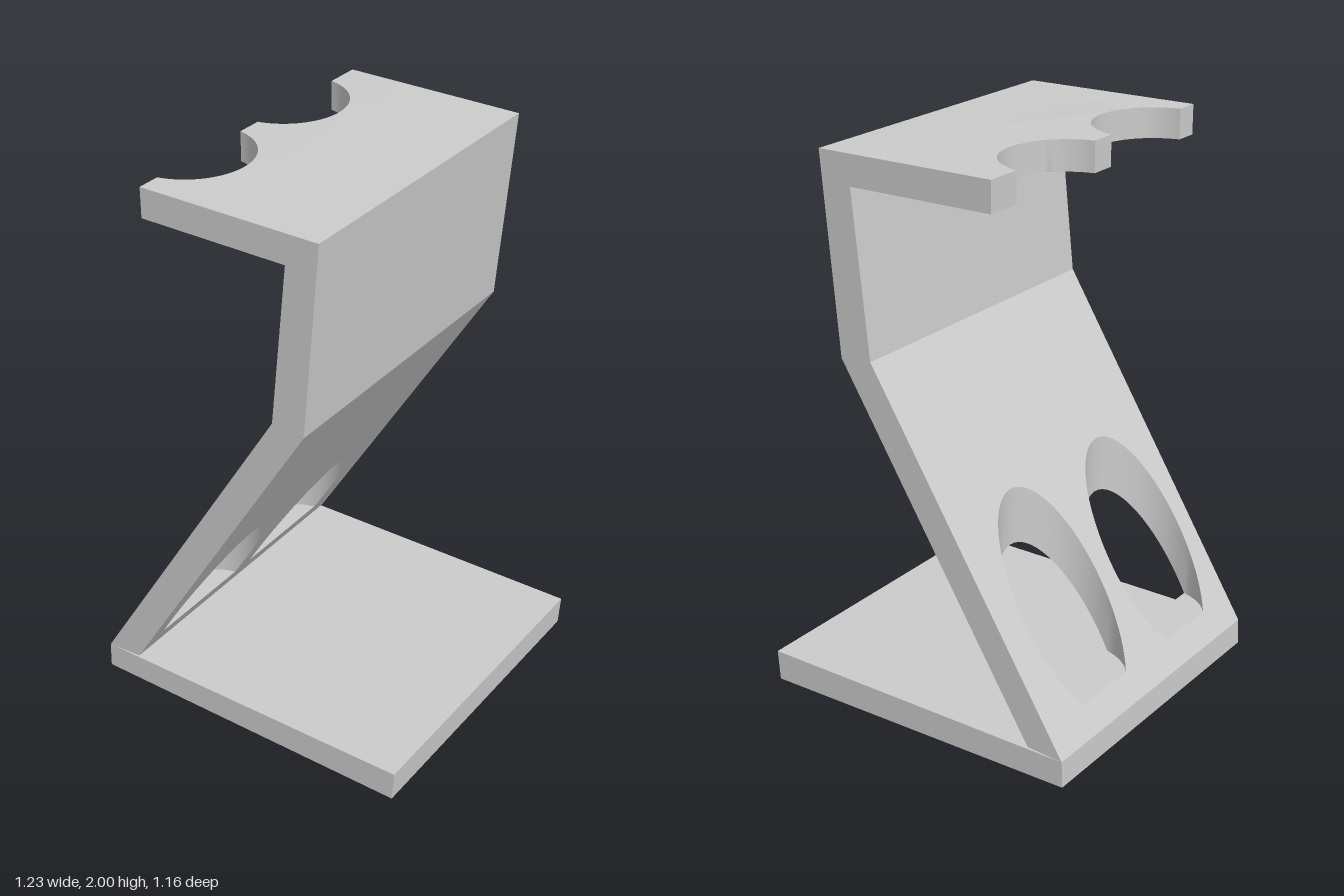
import * as THREE from 'three';
import { toCreasedNormals } from 'three/addons/utils/BufferGeometryUtils.js';

const W = 0.579;                                   // half width along z
const HOLE = { x: -0.382, r: 0.217, zs: [0.282, -0.238] };
const LEDGE = 0.2;                                 // the bores stop at this height
const TOP_EDGE = -0.34;                            // free edge of the top plate

// Corners of the sloping panel seen from the front
const A = [-0.612, 0.11], B = [-0.478, 0.118], C = [0.26, 1.31], D = [0.14, 1.322];
const line = (p, q) => x => p[1] + (x - p[0]) * (q[1] - p[1]) / (q[0] - p[0]);
const invert = (p, q, y) => p[0] + (y - p[1]) * (q[0] - p[0]) / (q[1] - p[1]);
const upper = line(A, D), lower = line(B, C);

const material = new THREE.MeshStandardMaterial({ color: 0xcccccc });

function addMesh(group, name, geometry) {
  const mesh = new THREE.Mesh(toCreasedNormals(geometry, 0.5), material);
  mesh.name = name;
  group.add(mesh);
}

// Front profile pulled across the full width
function slab(points) {
  const shape = new THREE.Shape(points.map(p => new THREE.Vector2(...p)));
  return new THREE.ExtrudeGeometry(shape, { depth: 2 * W, bevelEnabled: false }).translate(0, 0, -W);
}

// Top plate with two round notches; its lower edge is mitred to the column
function topPlate() {
  const a = Math.acos((TOP_EDGE - HOLE.x) / HOLE.r);
  const shape = new THREE.Shape();
  shape.moveTo(0.322, W);
  shape.lineTo(TOP_EDGE, W);
  for (const z of HOLE.zs) shape.absarc(HOLE.x, z, HOLE.r, a, -a, true);
  shape.lineTo(TOP_EDGE, -W);
  shape.lineTo(0.322, -W);
  shape.closePath();
  const g = new THREE.ExtrudeGeometry(shape, { depth: 0.105, bevelEnabled: false, curveSegments: 32 });
  g.rotateX(Math.PI / 2).translate(0, 2, 0);
  const p = g.attributes.position;
  for (let i = 0; i < p.count; i++) {
    const x = p.getX(i), top = p.getY(i) > 1.95;
    if (x > 0.3) p.setXYZ(i, top ? 0.322 : 0.2, top ? 1.994 : 1.89, p.getZ(i));
  }
  return g;
}

// Sloping panel with two vertical bores that end on a flat ledge
function slopedPanel() {
  const pos = [];
  const tri = (a, b, c) => {
    const n = new THREE.Vector3().subVectors(b, a).cross(new THREE.Vector3().subVectors(c, a));
    if (n.length() > 1e-8) for (const v of [a, b, c]) pos.push(v.x, v.y, v.z);
  };
  const quad = (a, b, c, d) => { tri(a, b, c); tri(a, c, d); };
  const V = (x, y, z) => new THREE.Vector3(x, y, z);

  const xTop = invert(A, D, LEDGE), xLow = invert(B, C, LEDGE);
  const end = Math.acos((xTop - HOLE.x) / HOLE.r), N = 56;
  const rings = HOLE.zs.map(z => Array.from({ length: N + 1 }, (_, i) => {
    const a = -end + 2 * end * i / N;
    return [HOLE.x + HOLE.r * Math.cos(a), z + HOLE.r * Math.sin(a)];
  }));
  const lowRings = rings.map(r => r.map(([x, z]) => [Math.max(x, xLow), z]));

  // Upper and lower skins
  const skin = (x0, x1, holes, height, up) => {
    const toV2 = l => l.map(p => new THREE.Vector2(...p));
    const outline = toV2([[x0, -W], [x1, -W], [x1, W], [x0, W]]);
    const inner = holes.map(toV2);
    const pts = [outline, ...inner].flat().map(p => V(p.x, height(p.x), p.y));
    for (const [i, j, k] of THREE.ShapeUtils.triangulateShape(outline, inner)) {
      const [a, b, c] = [pts[i], pts[j], pts[k]];
      const ny = (b.z - a.z) * (c.x - a.x) - (b.x - a.x) * (c.z - a.z);
      if ((ny > 0) === up) tri(a, b, c); else tri(a, c, b);
    }
  };
  skin(A[0], D[0], rings, upper, true);
  skin(B[0], C[0], lowRings, lower, false);

  // Bore walls and ledges
  rings.forEach((ring, h) => {
    const top = ring.map(([x, z]) => V(x, upper(x), z));
    const mid = ring.map(([x, z]) => V(x, Math.max(lower(x), LEDGE), z));
    const low = lowRings[h].map(([x, z]) => V(x, lower(x), z));
    for (let i = 0; i <= N; i++) {
      const n = (i + 1) % (N + 1);
      quad(mid[i], mid[n], top[n], top[i]);
      quad(low[i], low[n], mid[n], mid[i]);
    }
  });

  // Side faces
  const side = z => [A, B, C, D].map(p => V(p[0], p[1], z));
  quad(...side(W));
  quad(...side(-W).reverse());

  const g = new THREE.BufferGeometry();
  g.setAttribute('position', new THREE.Float32BufferAttribute(pos, 3));
  return g;
}

export function createModel() {
  const group = new THREE.Group();
  group.name = 'zStand';
  addMesh(group, 'base', slab([[-0.615, 0.015], [0.605, 0], [0.613, 0.11], A]));
  addMesh(group, 'slopedPanel', slopedPanel());
  addMesh(group, 'column', slab([D, C, [0.322, 1.994], [0.2, 1.89]]));
  addMesh(group, 'topPlate', topPlate());
  return group;
}
